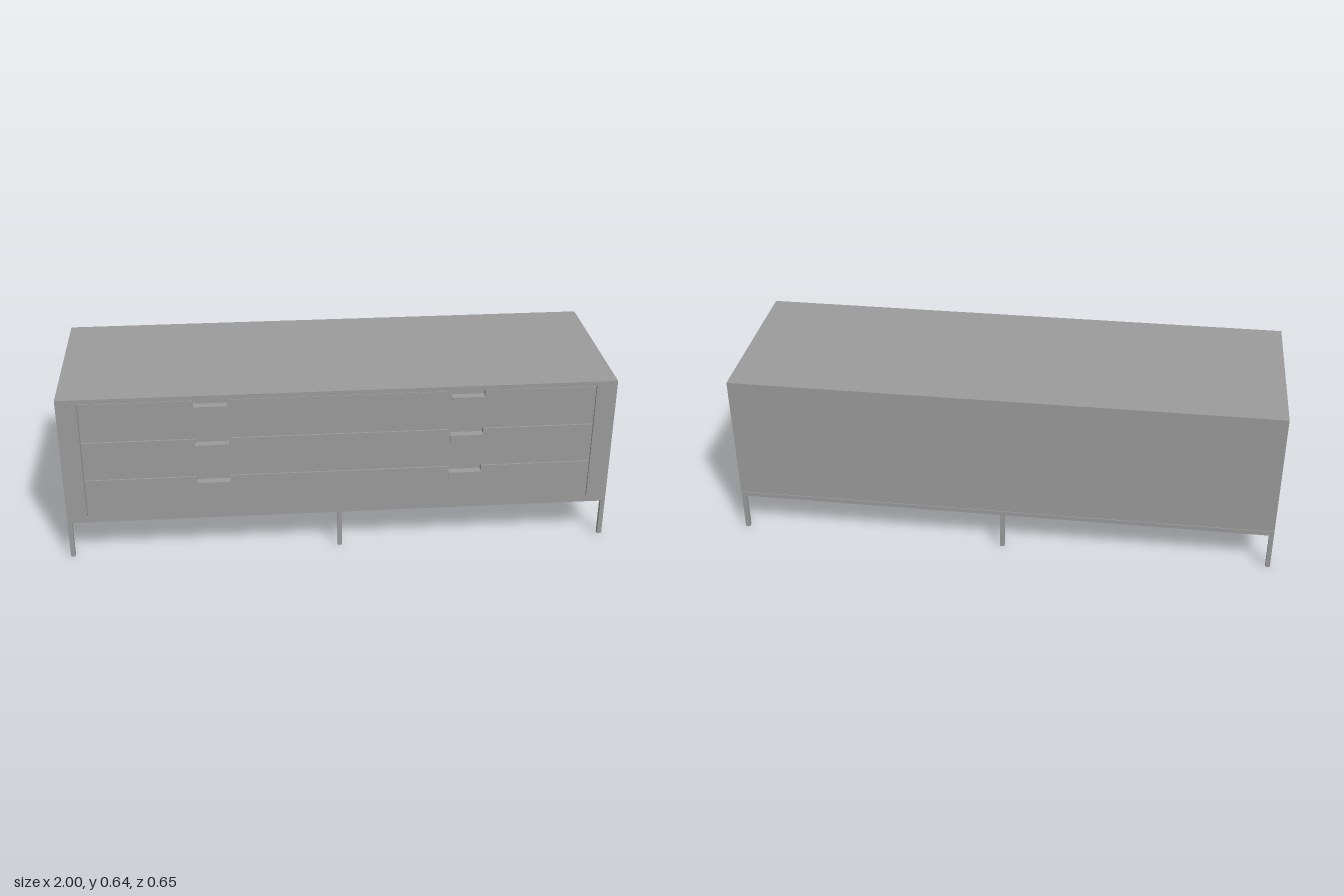
import * as THREE from 'three';

const BACK = -0.326, FRONT = 0.32, TOP = 0.645, BASE = 0.165;
const OPEN_X = 0.926, OPEN_TOP = 0.628, T = 0.0165;

export function createModel() {
  const model = new THREE.Group();
  const material = new THREE.MeshStandardMaterial({ color: 0x9b9b9b });

  const add = (name, geometry, parent = model) => {
    const mesh = new THREE.Mesh(geometry, material);
    mesh.name = name;
    parent.add(mesh);
    return mesh;
  };
  // Box given by its lower and upper limits on each axis
  const box = (name, x0, x1, y0, y1, z0, z1, parent) => {
    const mesh = add(name, new THREE.BoxGeometry(x1 - x0, y1 - y0, z1 - z0), parent);
    mesh.position.set((x0 + x1) / 2, (y0 + y1) / 2, (z0 + z1) / 2);
  };

  // Cabinet: wide side posts and a slim top edge as one extruded outline,
  // with a solid core that stops short of the drawer fronts
  const outline = new THREE.Shape([
    [-1, BASE], [-OPEN_X, BASE], [-OPEN_X, OPEN_TOP], [OPEN_X, OPEN_TOP],
    [OPEN_X, BASE], [1, BASE], [1, TOP], [-1, TOP],
  ].map(([x, y]) => new THREE.Vector2(x, y)));
  const shell = new THREE.ExtrudeGeometry(outline, { depth: FRONT - BACK, bevelEnabled: false });
  add('cabinetShell', shell).position.z = BACK;
  box('cabinetCore', -OPEN_X, OPEN_X, BASE, OPEN_TOP, BACK, 0.285);

  // Drawer fronts, each with two finger notches in its top edge
  const gap = 0.0015, pitch = 0.1535, thick = 0.023;
  const gripX = 0.46, gripHalf = 0.06, notch = 0.0245;
  for (let i = 0; i < 3; i++) {
    const drawer = new THREE.Group();
    drawer.name = 'drawer' + (i + 1);
    model.add(drawer);
    const y1 = OPEN_TOP - i * pitch - gap;
    const y0 = i < 2 ? OPEN_TOP - (i + 1) * pitch + gap : BASE;
    const sill = y1 - notch;
    const w = OPEN_X - 2 * gap;

    const front = new THREE.Shape();
    front.moveTo(-w, y0);
    front.lineTo(w, y0);
    front.lineTo(w, y1);
    for (const x of [gripX, -gripX]) {
      front.lineTo(x + gripHalf, y1);
      front.lineTo(x + gripHalf, sill);
      front.lineTo(x - gripHalf, sill);
      front.lineTo(x - gripHalf, y1);
    }
    front.lineTo(-w, y1);
    front.closePath();
    add('drawerFront', new THREE.ExtrudeGeometry(front, { depth: thick, bevelEnabled: false }), drawer)
      .position.z = FRONT - thick;

    // Pulls: a lip lying on the notch sill and a flap lying on the drawer face
    for (const x of [gripX, -gripX]) {
      const pull = new THREE.Group();
      pull.name = 'drawerPull';
      drawer.add(pull);
      box('pullLip', x - gripHalf, x + gripHalf, sill, sill + 0.002, FRONT - thick, FRONT + 0.006, pull);
      box('pullFlap', x - gripHalf, x + gripHalf, sill - 0.025, sill, FRONT, FRONT + 0.006, pull);
    }
  }

  // Open base frame of square bars, with a fine shadow gap at the sides and back
  const y0 = 0.146, y1 = 0.163;
  const rows = [['front', FRONT - T, FRONT], ['back', BACK, BACK + T]];
  for (const [side, z0, z1] of rows) box(side + 'Rail', -1, 1, y0, y1, z0, z1);
  for (const [side, x] of [['left', 1 - T], ['right', -1]])
    box(side + 'Rail', x, x + T, y0, y1, BACK + T, FRONT - T);
  box('frontPacking', -0.996, 0.996, y1, BASE, FRONT - T, FRONT);
  box('backPacking', -0.996, 0.996, y1, BASE, BACK + 0.004, BACK + T);
  for (const x of [-0.996, 0.986]) box('sidePacking', x, x + 0.01, y1, BASE, BACK + T, FRONT - T);

  // Three legs along the front and three along the back, with small glides
  for (const [side, z0, z1] of rows) {
    for (const x of [-1, -T / 2, 1 - T]) {
      box(side + 'Leg', x, x + T, 0.003, y0, z0, z1);
      box('legGlide', x + 0.001, x + T - 0.001, 0, 0.003, z0 + 0.001, z1 - 0.001);
    }
  }

  return model;
}
